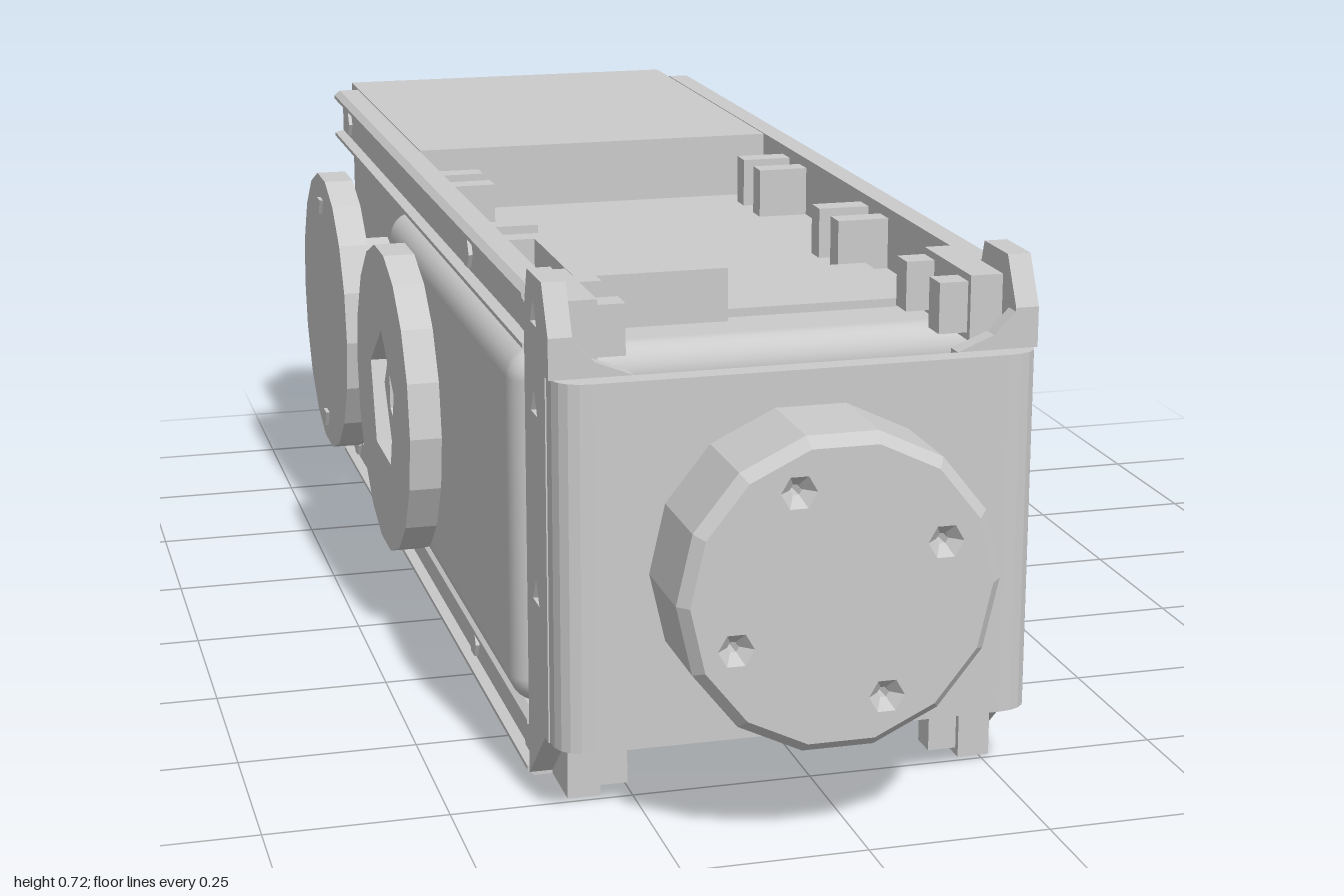
import * as THREE from 'three';
import { RoundedBoxGeometry } from 'three/addons/geometries/RoundedBoxGeometry.js';

const CX = -0.04; // plane of symmetry
const MID = 0.35; // mid height
const mat = new THREE.MeshStandardMaterial({ color: 0xcccccc, flatShading: true });
const smooth = new THREE.MeshStandardMaterial({ color: 0xcccccc });

function add(parent, name, geometry, material = mat) {
  const mesh = new THREE.Mesh(geometry, material);
  mesh.name = name;
  parent.add(mesh);
  return mesh;
}

// Box given by its extents
function box(parent, name, x0, x1, y0, y1, z0, z1) {
  const g = new THREE.BoxGeometry(x1 - x0, y1 - y0, z1 - z0);
  g.translate((x0 + x1) / 2, (y0 + y1) / 2, (z0 + z1) / 2);
  return add(parent, name, g);
}

// Regular polygon points
function ngon(cx, cy, r, n, turn = 0) {
  return Array.from({ length: n }, (_, i) => {
    const a = turn + (i / n) * Math.PI * 2;
    return new THREE.Vector2(cx + r * Math.cos(a), cy + r * Math.sin(a));
  });
}

function shapeOf(points, holes = []) {
  const s = new THREE.Shape(points);
  holes.forEach(h => s.holes.push(new THREE.Path(h)));
  return s;
}

// Extrude a (z, y) outline along x from x0 to x1
function prismX(parent, name, points, x0, x1, holes = []) {
  const g = new THREE.ExtrudeGeometry(shapeOf(points, holes), { depth: x1 - x0, bevelEnabled: false });
  g.rotateY(-Math.PI / 2);
  g.translate(x1, 0, 0);
  return add(parent, name, g);
}

// Range on side s (+1 / -1) at distances a..b from the symmetry plane
const span = (s, a, b) => (s > 0 ? [CX + a, CX + b] : [CX - b, CX - a]);
const pts = list => list.map(p => new THREE.Vector2(...p));

export function createModel() {
  const model = new THREE.Group();
  model.name = 'actuatorModule';

  // Main casing and rear block
  const casing = new RoundedBoxGeometry(0.7, 0.5, 0.96, 3, 0.04);
  casing.translate(CX, MID, 0.18);
  add(model, 'frontCasing', casing, smooth);
  box(model, 'rearBlock', CX - 0.29, CX + 0.29, 0, 0.69, -1, -0.31);

  // Side rails: outward facing shallow channels
  for (const s of [1, -1]) for (const y0 of [0.005, 0.6]) {
    const y1 = y0 + 0.09;
    const outline = pts([[0.292, y0], [0.325, y0], [0.335, y0 + 0.008], [0.335, y0 + 0.014], [0.32, y0 + 0.018],
      [0.32, y1 - 0.018], [0.335, y1 - 0.014], [0.335, y1 - 0.008], [0.325, y1], [0.292, y1]]);
    outline.forEach(p => { p.x = CX + s * p.x; });
    const g = new THREE.ExtrudeGeometry(shapeOf(outline), { depth: 1.58, bevelEnabled: false });
    g.translate(0, 0, -0.92);
    add(model, 'sideRail', g);
    // rail screws
    for (const z of [0.62, 0.24, -0.84])
      prismX(model, 'railScrew', ngon(z, y0 + 0.045, 0.024, 6), ...span(s, 0.31, 0.326));
  }

  // Details on the top tray, mirrored underneath
  for (const up of [1, -1]) {
    const tray = new THREE.Group();
    tray.name = up > 0 ? 'topTray' : 'bottomTray';
    model.add(tray);
    const slab = (name, x0, x1, h, z0, z1) => up > 0
      ? box(tray, name, x0, x1, 0.59, 0.6 + h, z0, z1)
      : box(tray, name, x0, x1, 0.1 - h, 0.11, z0, z1);
    slab('connectorBox', -0.28, -0.065, 0.075, 0.3, 0.56);
    slab('connectorPad', -0.065, 0.215, 0.012, 0.32, 0.54);
    for (const s of [1, -1]) {
      // clips holding the rails: a bar with two lugs
      for (const z of [-0.145, 0.25]) {
        slab('clipBar', ...span(s, 0.25, 0.292), 0.035, z - 0.06, z + 0.06);
        for (const d of [-0.045, 0.045])
          slab('clipLug', ...span(s, 0.215, 0.292), 0.075, z + d - 0.018, z + d + 0.018);
      }
      // corner posts tying the casing to the front bracket
      const y0 = up > 0 ? 0.6 : 0.005, y1 = up > 0 ? 0.69 : 0.1;
      box(tray, 'cornerPost', ...span(s, 0.255, 0.3), y0, y1, 0.57, 0.75);
      for (const z of [0.59, 0.72])
        box(tray, 'cornerLug', ...span(s, 0.215, 0.26), y0 + 0.01, y1 - 0.01, z - 0.02, z + 0.02);
    }
  }

  // Front bracket: curved front wall
  const bracket = new THREE.Group();
  bracket.name = 'frontBracket';
  model.add(bracket);
  const w = 0.33, t = 0.03, r = 0.05;
  const u = new THREE.Shape();
  u.moveTo(CX - w, 0.74);
  u.lineTo(CX - w + t, 0.74);
  u.lineTo(CX - w + t, 0.775);
  u.quadraticCurveTo(CX - w + t, 0.8, CX - w + t + 0.025, 0.8);
  u.lineTo(CX + w - t - 0.025, 0.8);
  u.quadraticCurveTo(CX + w - t, 0.8, CX + w - t, 0.775);
  u.lineTo(CX + w - t, 0.74);
  u.lineTo(CX + w, 0.74);
  u.lineTo(CX + w, 0.83 - r);
  u.quadraticCurveTo(CX + w, 0.83, CX + w - r, 0.83);
  u.lineTo(CX - w + r, 0.83);
  u.quadraticCurveTo(CX - w, 0.83, CX - w, 0.83 - r);
  const wall = new THREE.ExtrudeGeometry(u, { depth: 0.5, bevelEnabled: false, curveSegments: 5 });
  wall.rotateX(Math.PI / 2);
  wall.translate(0, 0.6, 0);
  add(bracket, 'frontWall', wall);

  for (const s of [1, -1]) {
    // side plates with raised ears and screw holes
    const plate = pts([[0.78, 0.1], [0.76, 0.1], [0.66, 0.01], [0.66, 0.66], [0.68, 0.72], [0.765, 0.72], [0.8, 0.655], [0.8, 0.6], [0.78, 0.6]]);
    const holes = [0.285, 0.545, 0.665].map(y => ngon(0.715, y, 0.022, 3, Math.PI / 2));
    prismX(bracket, 'sidePlate', plate, ...span(s, w - t, w + 0.002), holes);
    // fillet between ear and front wall
    const f = new THREE.Shape(pts([[CX + s * 0.3, 0.59], [CX + s * 0.3, 0.65], [CX + s * 0.27, 0.62], [CX + s * 0.22, 0.6], [CX + s * 0.22, 0.59]]));
    const g = new THREE.ExtrudeGeometry(f, { depth: 0.025, bevelEnabled: false });
    g.translate(0, 0, 0.775);
    add(bracket, 'earFillet', g);
  }

  // Output horn at the front, with four bolt holes
  const bolts = [[-0.1, 0.49], [0.095, 0.41], [-0.18, 0.29], [0.02, 0.21]];
  const horn = new THREE.ExtrudeGeometry(
    shapeOf(ngon(CX, MID, 0.2, 14), bolts.map(([x, y]) => ngon(x, y, 0.024, 6))),
    { depth: 0.13, bevelThickness: 0.015, bevelSize: 0.014, bevelSegments: 1 });
  horn.translate(0, 0, 0.855);
  add(model, 'outputHorn', horn);
  const hornCore = new THREE.CylinderGeometry(0.19, 0.19, 0.1, 14);
  hornCore.rotateX(Math.PI / 2);
  hornCore.translate(CX, MID, 0.87);
  add(model, 'hornCore', hornCore);

  // Side discs on hubs
  const Z1 = -0.06, Z2 = -0.65, R = 0.24;
  const disc = (name, s, z, holes) => {
    prismX(model, name, ngon(z, MID, R, 18), ...span(s, 0.355, 0.403), holes);
    prismX(model, name + 'Hub', ngon(z, MID, 0.125, 12), ...span(s, 0.28, 0.36));
  };
  disc('frontDisc', 1, Z1, []);
  disc('rearDisc', 1, Z2, [ngon(-0.6, MID, 0.045, 10), ngon(-0.705, MID, 0.045, 10)]);
  disc('frontDisc', -1, Z1, [ngon(Z1, MID, 0.11, 5, 0.3)]);
  disc('rearDisc', -1, Z2, []);

  // Nut and drive shaft on the front disc
  const nut = new THREE.CylinderGeometry(0.055, 0.09, 0.04, 6);
  nut.rotateZ(-Math.PI / 2);
  nut.translate(0.38, MID, Z1);
  add(model, 'shaftNut', nut);
  prismX(model, 'driveShaft', ngon(Z1 - 0.005, MID, 0.03, 4, Math.PI / 4), 0.36, 0.44);

  // Recessed nut on the opposite disc
  prismX(model, 'recessedNut', ngon(Z1, MID, 0.085, 5, 0.6), -0.425, -0.38, [ngon(Z1, MID, 0.045, 5)]);

  // Pointed index markers on the discs
  const marker = (z, y, x, size) => {
    const g = new THREE.ConeGeometry(size, size * 1.9, 4);
    g.rotateX(Math.PI);
    g.scale(0.6, 1, 1);
    g.translate(x, y, z);
    add(model, 'indexMarker', g);
  };
  marker(Z1, 0.54, 0.355, 0.05);
  marker(Z2 - 0.01, 0.545, 0.378, 0.055);
  for (const y of [0.16, 0.54]) prismX(model, 'indexMark', ngon(Z2, y, 0.018, 3, -Math.PI / 2), -0.449, -0.44);
  prismX(model, 'indexMark', ngon(Z2, 0.16, 0.018, 3, -Math.PI / 2), 0.36, 0.368);

  // Corner screws on the rear block
  for (const s of [1, -1]) for (const y of [0.05, 0.645])
    prismX(model, 'blockScrew', ngon(-0.95, y, 0.03, 6), ...span(s, 0.28, 0.31));

  return model;
}
